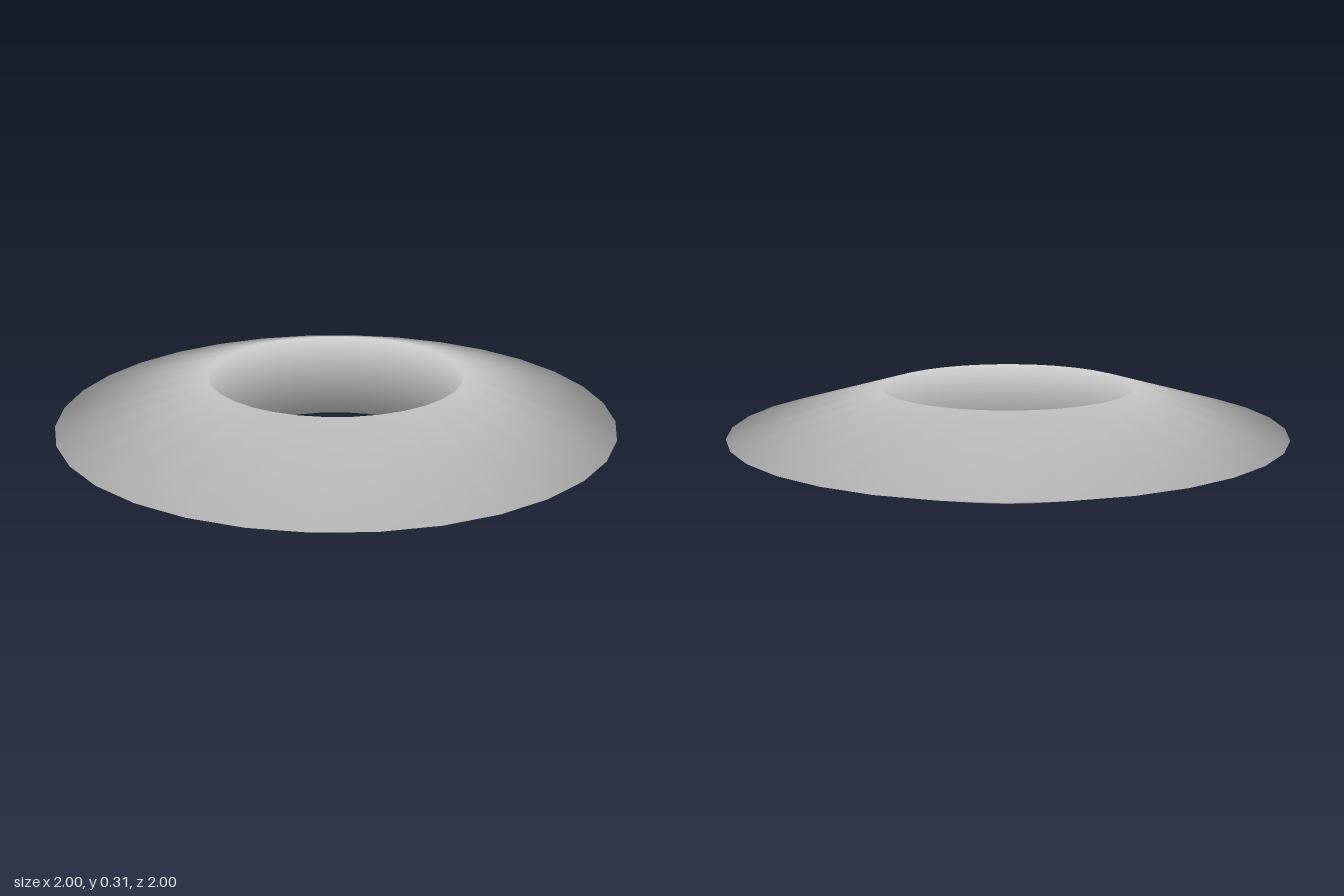
import * as THREE from 'three';

export function createModel() {
  const group = new THREE.Group();
  const tube = 0.3636;      // circumradius of the triangular section
  const squash = 0.5;       // flattens the ring vertically

  // Knife-edged ring: triangular section with its point facing outward
  const geometry = new THREE.TorusGeometry(1 - tube, tube, 3, 32);
  geometry.rotateX(-Math.PI / 2);
  geometry.scale(1, squash, 1);
  geometry.translate(0, tube * Math.sin(Math.PI / 3) * squash, 0);

  const ring = new THREE.Mesh(geometry, new THREE.MeshStandardMaterial({ color: 0xcccccc }));
  ring.name = 'ring';
  group.add(ring);
  return group;
}
